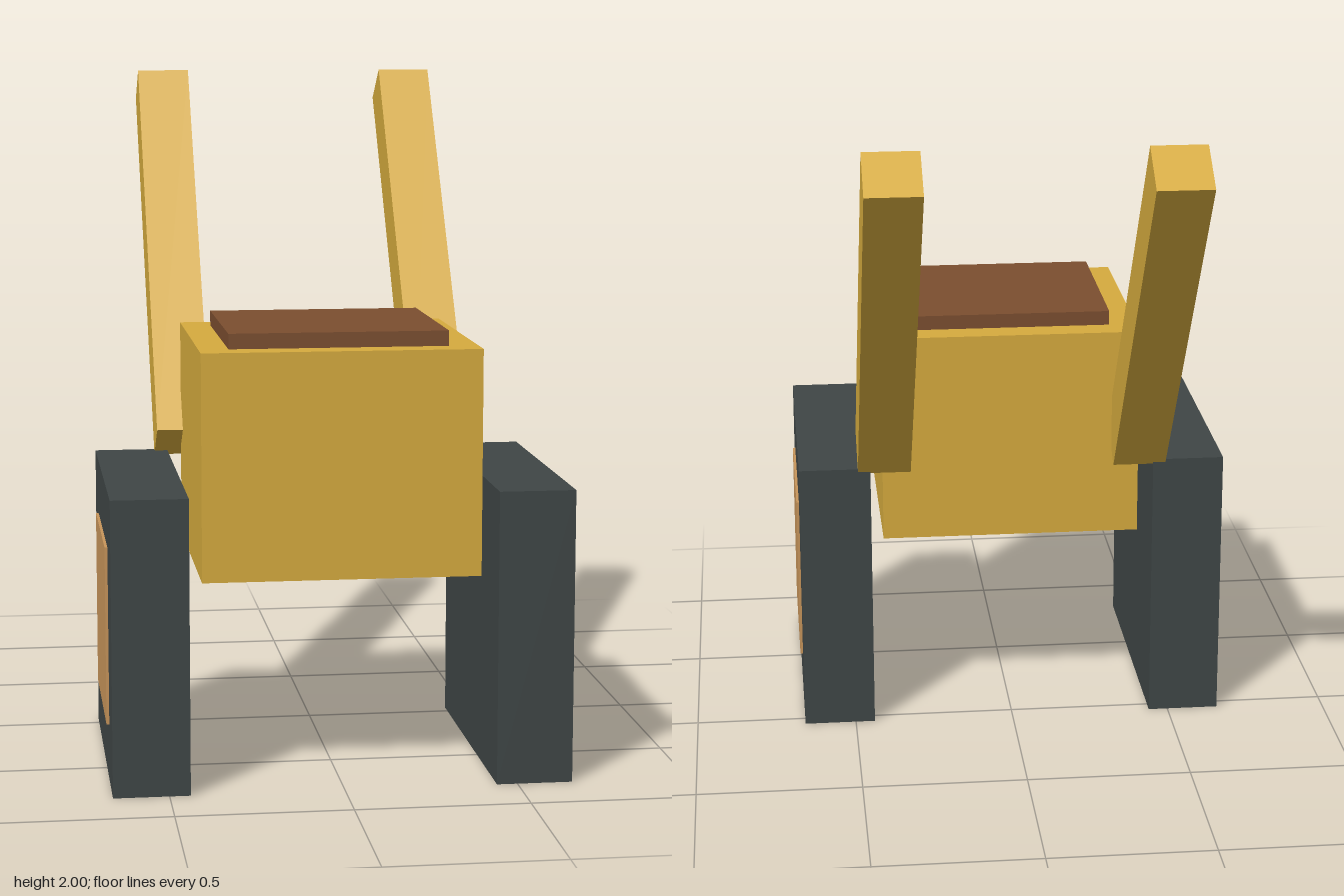
import * as THREE from 'three';

export function createModel() {
  const model = new THREE.Group();
  const material = (name, color) => {
    const m = new THREE.MeshStandardMaterial({ color });
    m.name = name;
    return m;
  };
  const gold = material('gold', 0xd6ab3e);
  const slate = material('slate', 0x3f4646);
  const tan = material('tan', 0xc8955a);
  const brown = material('brown', 0x7b4e2f);

  // Box given by its lower and upper corners
  const block = (name, mat, [x0, y0, z0], [x1, y1, z1]) => {
    const mesh = new THREE.Mesh(new THREE.BoxGeometry(x1 - x0, y1 - y0, z1 - z0), mat);
    mesh.position.set((x0 + x1) / 2, (y0 + y1) / 2, (z0 + z1) / 2);
    mesh.name = name;
    model.add(mesh);
  };

  // Tub and the raised panel on its top
  block('tub', gold, [-0.4, 0.6, 0.015], [0.4, 1.253, 0.755]);
  block('topPanel', brown, [-0.315, 1.253, 0.098], [0.315, 1.297, 0.675]);

  for (const [side, s] of [['left', 1], ['right', -1]]) {
    // Square wheel with a thin hub plate on the outside
    const span = (a, b) => (s > 0 ? [a, b] : [-b, -a]);
    const [w0, w1] = span(0.44, 0.66);
    block(side + 'Wheel', slate, [w0, 0, -0.04], [w1, 0.853, 0.81]);
    const [h0, h1] = span(0.66, 0.668);
    block(side + 'Hub', tan, [h0, 0.17, 0.125], [h1, 0.688, 0.645]);

    // Handle leaning backwards
    const handle = new THREE.Mesh(new THREE.BoxGeometry(0.163, 1.318, 0.163), gold);
    handle.position.set(s * 0.397, 1.419, -0.357);
    handle.rotation.x = -0.628;
    handle.name = side + 'Handle';
    model.add(handle);
  }
  return model;
}
